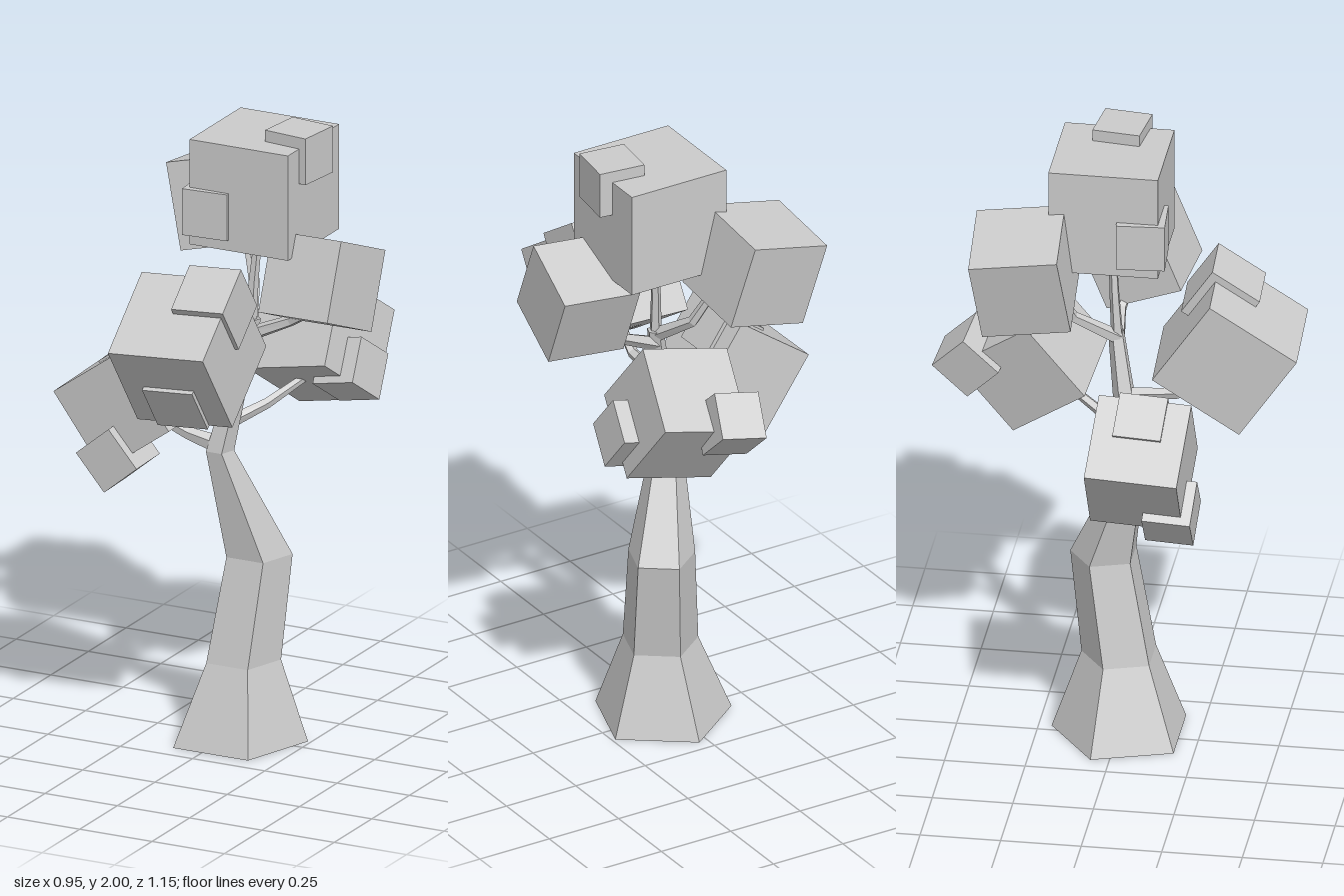
import * as THREE from 'three';

const material = new THREE.MeshStandardMaterial({ color: 0xcccccc, flatShading: true });
const UP = new THREE.Vector3(0, 1, 0);

// Faceted limb through rings of [x, y, z, radius]; rings follow the path or stay level
function limb(name, rings, sides, followPath) {
  const n = rings.length - 1;
  const geometry = new THREE.CylinderGeometry(1, 1, 1, sides, n, false, Math.PI);
  const centers = rings.map(([x, y, z]) => new THREE.Vector3(x, y, z));
  const turns = centers.map((c, i) => {
    const q = new THREE.Quaternion();
    if (!followPath) return q;
    const along = centers[Math.min(i + 1, n)].clone().sub(centers[Math.max(i - 1, 0)]);
    return q.setFromUnitVectors(UP, along.normalize());
  });
  const pos = geometry.attributes.position;
  const v = new THREE.Vector3();
  for (let i = 0; i < pos.count; i++) {
    const row = Math.round((pos.getY(i) + 0.5) * n);
    v.set(pos.getX(i), 0, pos.getZ(i)).multiplyScalar(rings[row][3]);
    v.applyQuaternion(turns[row]).add(centers[row]);
    pos.setXYZ(i, v.x, v.y, v.z);
  }
  geometry.computeVertexNormals();
  const mesh = new THREE.Mesh(geometry, material);
  mesh.name = name;
  return mesh;
}

// Leaf cube turned so its own x axis points along right and its y axis near up
function leafCube(name, size, center, right, up) {
  const x = new THREE.Vector3(...right).normalize();
  const z = x.clone().cross(new THREE.Vector3(...up)).normalize();
  const y = z.clone().cross(x);
  const mesh = new THREE.Mesh(new THREE.BoxGeometry(size, size, size), material);
  mesh.name = name;
  mesh.quaternion.setFromRotationMatrix(new THREE.Matrix4().makeBasis(x, y, z));
  mesh.position.set(...center);
  return mesh;
}

// Each clump: one large cube plus small cubes [size, center, right?, up?] poking out of it
const clumps = [
  {
    name: 'topLeaves', size: 0.34, center: [0.1, 1.793, -0.035], right: [1, 0, 0], up: [0, 1, 0],
    small: [
      [0.15, [0.228, 1.925, -0.02], [0.99, 0, 0.12], [0, 1, 0]],
      [0.15, [-0.014, 1.733, 0.078], [0.997, 0, -0.07], [0, 1, 0]],
    ],
  },
  {
    name: 'backRightLeaves', size: 0.276, center: [-0.132, 1.65, -0.272],
    right: [0.97, 0.24, -0.05], up: [-0.24, 0.96, -0.12], small: [],
  },
  {
    name: 'leftLeaves', size: 0.255, center: [0.326, 1.53, 0.017],
    right: [0.99, 0.05, 0.11], up: [0, 0.924, -0.372], small: [],
  },
  {
    name: 'backLeaves', size: 0.292, center: [0.162, 1.222, -0.292],
    right: [0.97, 0.21, 0.105], up: [-0.1, 0.79, -0.6],
    small: [
      [0.15, [0.075, 1.24, -0.465], [0.97, 0.18, 0.12], [-0.1, 0.68, -0.74]],
      [0.15, [0.294, 1.164, -0.235]],
    ],
  },
  {
    name: 'frontLeaves', size: 0.322, center: [0.03, 1.36, 0.344],
    right: [0.995, 0.06, -0.04], up: [-0.03, 0.83, 0.56],
    small: [
      [0.175, [0.107, 1.5, 0.312]],
      [0.17, [0.035, 1.245, 0.375]],
    ],
  },
  {
    name: 'rightLeaves', size: 0.288, center: [-0.275, 1.09, 0.113],
    right: [0.81, 0.58, 0.04], up: [-0.58, 0.81, 0.02],
    small: [
      [0.15, [-0.28, 0.934, 0.208], [0.77, 0.64, 0.04], [-0.64, 0.77, 0.02]],
      [0.15, [-0.253, 1.2, 0.113]],
    ],
  },
];

export function createModel() {
  const tree = new THREE.Group();
  tree.name = 'tree';

  // Five-sided trunk with a flared foot and a bend
  tree.add(limb('trunk', [
    [0.03, 0, 0.01, 0.22],
    [0.042, 0.26, 0.003, 0.122],
    [0.07, 0.59, -0.05, 0.108],
    [-0.012, 0.94, 0.048, 0.046],
    [0.025, 1.13, 0.02, 0.037],
    [0.07, 1.36, -0.015, 0.026],
  ], 5, false));

  // Thin branches, one into each clump
  const branches = {
    topBranch: [[0.065, 1.33, -0.01, 0.02], [0.07, 1.48, -0.02, 0.016], [0.085, 1.66, -0.03, 0.012]],
    backRightBranch: [[0.065, 1.34, -0.01, 0.024], [0.01, 1.43, -0.14, 0.018], [-0.04, 1.55, -0.19, 0.014]],
    leftBranch: [[0.065, 1.31, -0.01, 0.024], [0.2, 1.37, -0.02, 0.018], [0.3, 1.43, 0, 0.014]],
    backBranch: [[0, 1.02, 0.04, 0.022], [0.09, 1.07, -0.07, 0.017], [0.16, 1.13, -0.2, 0.013]],
    frontBranch: [[0.03, 1.165, 0.02, 0.022], [0.03, 1.18, 0.18, 0.018], [0.03, 1.26, 0.27, 0.014]],
    rightBranch: [[-0.01, 0.955, 0.05, 0.03], [-0.11, 0.985, 0.07, 0.02], [-0.24, 1.05, 0.1, 0.014]],
  };
  for (const [name, rings] of Object.entries(branches)) tree.add(limb(name, rings, 5, true));

  // Leaf clumps
  for (const { name, size, center, right, up, small } of clumps) {
    const group = new THREE.Group();
    group.name = name;
    group.add(leafCube('largeLeafCube', size, center, right, up));
    for (const [s, c, r = right, u = up] of small) group.add(leafCube('smallLeafCube', s, c, r, u));
    tree.add(group);
  }
  return tree;
}
